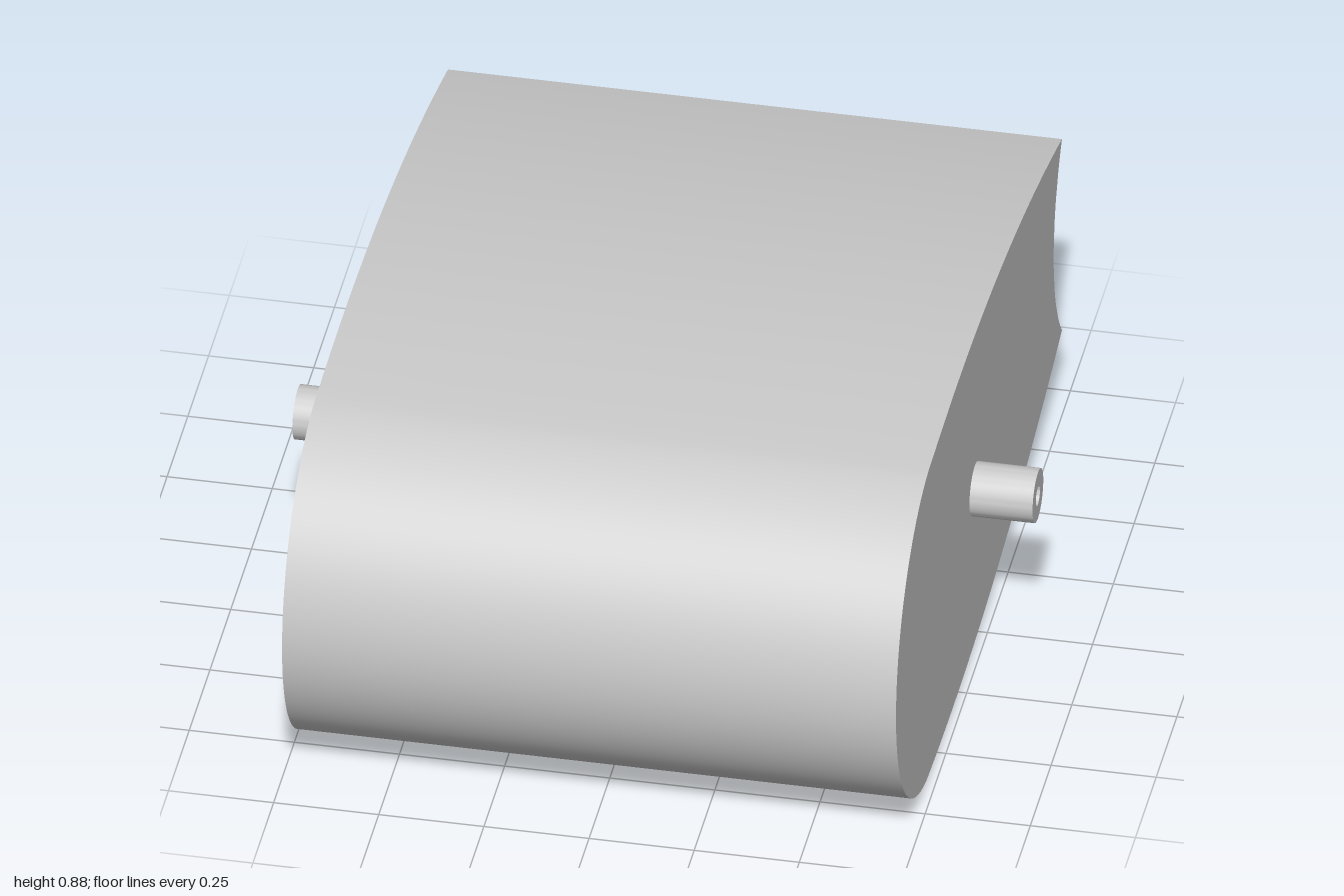
import * as THREE from 'three';
import { toCreasedNormals } from 'three/addons/utils/BufferGeometryUtils.js';

const H = 0.885, MID = H / 2, HALF = 0.73, WALL = 0.04, SLOT_X = 0.45;
const PIN = { y: MID, z: 0.05, r: 0.065, bore: 0.025, end: 0.88 };
const material = new THREE.MeshStandardMaterial({ color: 0xcccccc });

// Profile curves in the side plane
const sag = z => (z - 0.3) ** 2 / 9.94;
const backZ = y => -1.321 + Math.sqrt(0.421 ** 2 - (y - MID) ** 2);
const range = (a, b, n) => Array.from({ length: n + 1 }, (_, i) => a + (b - a) * i / n);

// Four evenly spaced slots: [start, end] pairs
const slots = (centre, pitch, width) => [-1.5, -0.5, 0.5, 1.5].map(k =>
  [centre + k * pitch - width / 2, centre + k * pitch + width / 2]);
const floorSlots = slots(0.05, 0.125, 0.05);
const backSlots = slots(MID, 0.12, 0.062);

// Sample values including slot edges, with no samples inside a slot
function stations(a, b, n, list) {
  const values = range(a, b, n).filter(v => !list.some(s => v > s[0] - 0.005 && v < s[1] + 0.005));
  return values.concat(list.flat()).sort((p, q) => (a < b ? p - q : q - p));
}
const inSlot = (a, b, list) => list.some(s => (a + b) / 2 > s[0] && (a + b) / 2 < s[1]);

// Closed outer and inner outlines as [z, y]; open[i] marks a slotted segment
function outlines() {
  const outer = [], inner = [], open = [];
  const add = (o, n, slot = false) => { outer.push(o); inner.push(n); open.push(slot); };
  const clampZ = z => Math.max(z, -0.94);
  const floor = stations(0.58, -1, 28, floorSlots);
  floor.slice(0, -1).forEach((z, i) => {
    const c = clampZ(z);
    add([z, sag(z)], [c, sag(c) + WALL], inSlot(z, floor[i + 1], floorSlots));
  });
  const back = stations(0.17, H - 0.17, 20, backSlots);
  back.slice(0, -1).forEach((y, i) => {
    const c = Math.min(Math.max(y, 0.195), H - 0.195);
    add([backZ(y), y], [backZ(c) + WALL, c], inSlot(y, back[i + 1], backSlots));
  });
  range(-1, 0.58, 28).slice(0, -1).forEach(z => {
    const c = clampZ(z);
    add([z, H - sag(z)], [c, H - sag(c) - WALL]);
  });
  const a = Math.asin(0.4346 / 0.437);
  range(a, -a, 40).slice(0, -1).forEach(t => {
    const at = r => [0.563 + r * Math.cos(t), MID + r * Math.sin(t)];
    add(at(0.437), at(0.437 - WALL));
  });
  return { outer, inner, open };
}

// Hollow wall wrapped around the outline, with cut slots and their rims
function shellGeometry({ outer, inner, open }) {
  const pos = [];
  const tri = (a, b, c) => {
    const area = new THREE.Triangle(...[a, b, c].map(p => new THREE.Vector3(...p))).getArea();
    if (area > 1e-9) pos.push(...a, ...b, ...c);
  };
  const quad = (a, b, c, d) => { tri(a, b, c); tri(a, c, d); };
  const at = (x, p) => [x, p[1], p[0]];
  const xo = [-HALF, -SLOT_X, SLOT_X, HALF];
  const xi = [-HALF + WALL, -SLOT_X, SLOT_X, HALF - WALL];
  outer.forEach((o, i) => {
    const j = (i + 1) % outer.length;
    const p = outer[j], n = inner[i], m = inner[j];
    for (let k = 0; k < 3; k++) {
      if (k === 1 && open[i]) continue;
      quad(at(xo[k], o), at(xo[k], p), at(xo[k + 1], p), at(xo[k + 1], o));
      quad(at(xi[k], n), at(xi[k + 1], n), at(xi[k + 1], m), at(xi[k], m));
    }
    if (!open[i]) return;
    const [l, r] = [-SLOT_X, SLOT_X];
    quad(at(l, o), at(l, n), at(r, n), at(r, o));
    quad(at(l, p), at(r, p), at(r, m), at(l, m));
    quad(at(l, o), at(l, p), at(l, m), at(l, n));
    quad(at(r, o), at(r, n), at(r, m), at(r, p));
  });
  const g = new THREE.BufferGeometry();
  g.setAttribute('position', new THREE.Float32BufferAttribute(pos, 3));
  return toCreasedNormals(g, 0.5);
}

// Flat end wall with a round opening; dir is the side it faces
function endFace(points, x, dir, radius) {
  const shape = new THREE.Shape(points.map(([z, y]) => new THREE.Vector2(-dir * z, y)));
  shape.holes.push(new THREE.Path().absarc(-dir * PIN.z, PIN.y, radius, 0, Math.PI * 2, true));
  return new THREE.ShapeGeometry(shape, 24).rotateY(dir * Math.PI / 2).translate(x, 0, 0);
}

// Bored pivot pin
function pinGeometry(side) {
  const profile = [[PIN.r, HALF], [PIN.r, PIN.end], [PIN.bore, PIN.end], [PIN.bore, HALF - WALL]]
    .map(p => new THREE.Vector2(...p));
  const g = new THREE.LatheGeometry(profile, 48).rotateZ(-side * Math.PI / 2);
  return toCreasedNormals(g.translate(0, PIN.y, PIN.z), 0.5);
}

export function createModel() {
  const model = new THREE.Group();
  model.name = 'ventedHousing';
  const add = (geometry, name) => {
    const mesh = new THREE.Mesh(geometry, material);
    mesh.name = name;
    model.add(mesh);
  };
  const lines = outlines();
  add(shellGeometry(lines), 'slottedShell');
  for (const side of [1, -1]) {
    const label = side > 0 ? 'left' : 'right';
    add(endFace(lines.outer, side * HALF, side, PIN.r), label + 'EndWall');
    add(endFace(lines.inner, side * (HALF - WALL), -side, PIN.bore), label + 'InnerEndWall');
    add(pinGeometry(side), label + 'PivotPin');
  }
  return model;
}
